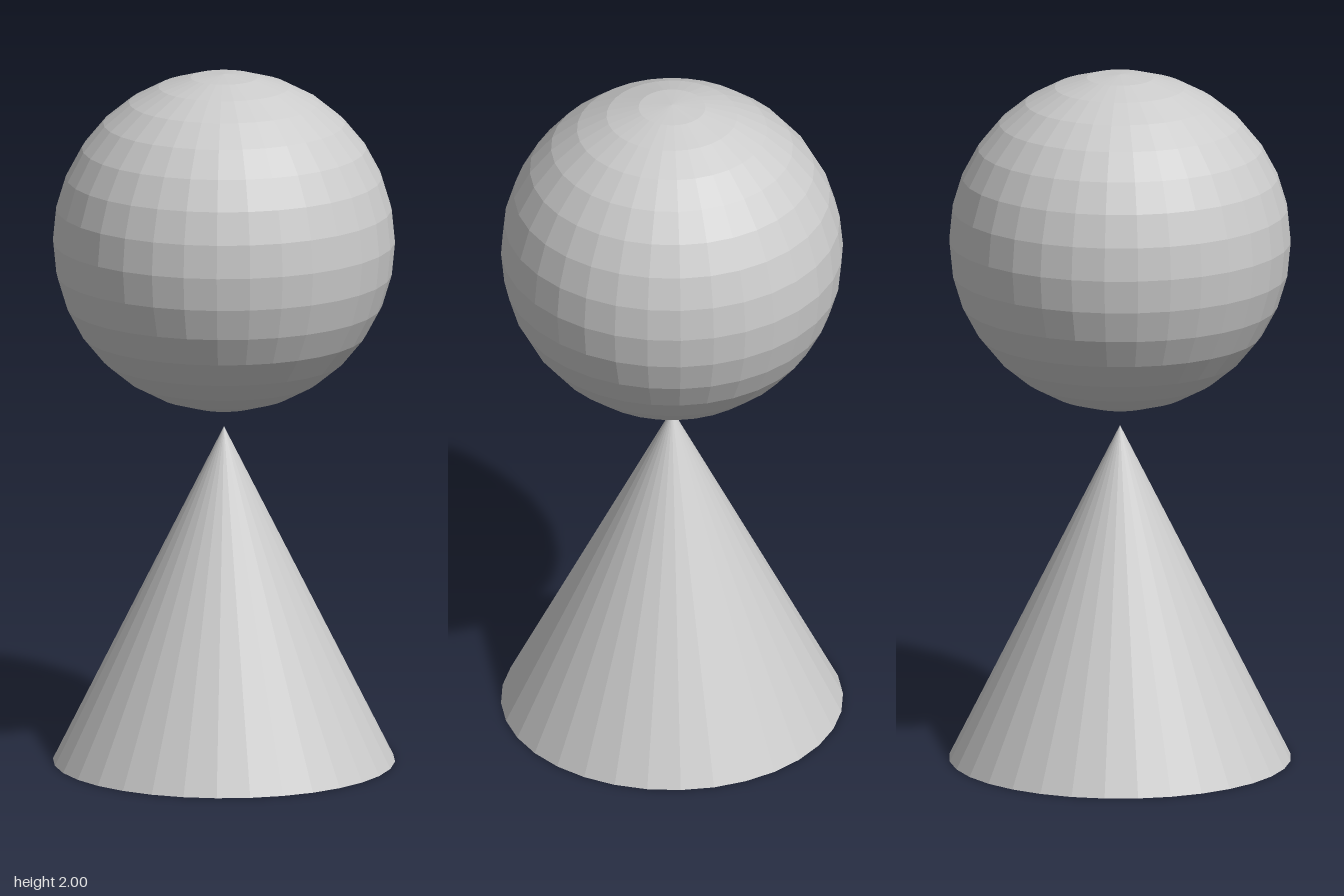
import * as THREE from 'three';

const RADIUS = 0.4865;
const SIDES = 32;

export function createModel() {
  const model = new THREE.Group();
  model.name = 'pawnFigure';
  const material = new THREE.MeshStandardMaterial({ color: 0xcccccc, flatShading: true });

  const add = (name, geometry, y) => {
    const mesh = new THREE.Mesh(geometry, material);
    mesh.name = name;
    mesh.position.y = y;
    model.add(mesh);
  };

  // Closed cone standing on the ground
  add('coneBody', new THREE.ConeGeometry(RADIUS, 2 * RADIUS, SIDES), RADIUS);

  // Faceted ball floating just above the tip
  add('ballHead', new THREE.SphereGeometry(RADIUS, SIDES, SIDES / 2), 2 - RADIUS);

  return model;
}
